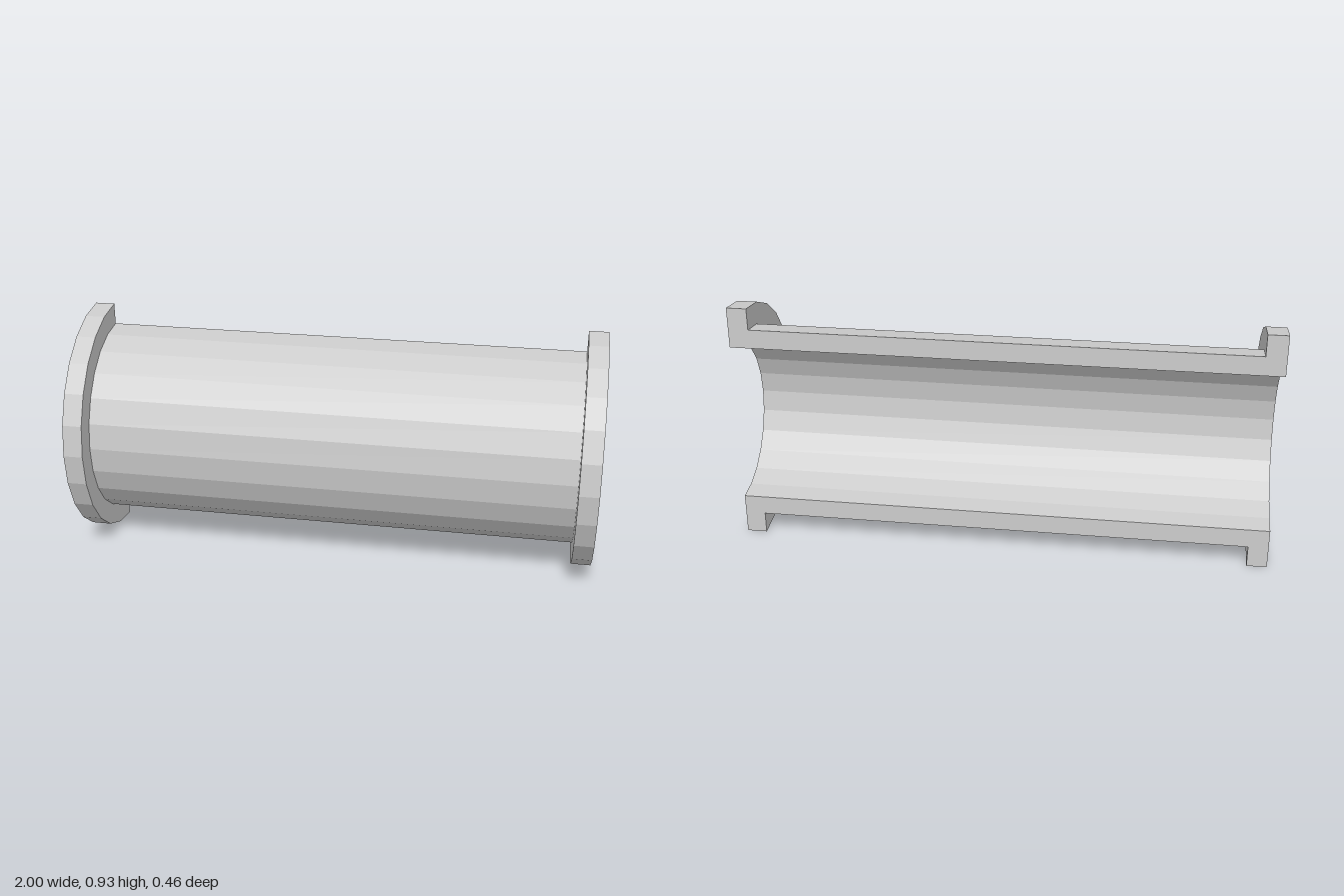
import * as THREE from 'three';

// Half of a flanged sleeve, split lengthwise, lying along x and open to the back
const BORE = 0.309, TUBE = 0.381, FLANGE = 0.4625;
const END = 1, FLANGE_FACE = 0.925;
const SEGMENTS = 12;

export function createModel() {
  const model = new THREE.Group();
  model.name = 'halfSleeve';
  const material = new THREE.MeshStandardMaterial({ color: 0xcccccc, flatShading: true });

  // Wall section (radius, position along the axis), counter-clockwise
  const section = [
    [BORE, -END], [FLANGE, -END], [FLANGE, -FLANGE_FACE], [TUBE, -FLANGE_FACE],
    [TUBE, FLANGE_FACE], [FLANGE, FLANGE_FACE], [FLANGE, END], [BORE, END],
  ].map(([r, a]) => new THREE.Vector2(r, a));

  const add = (name, geometry) => {
    geometry.rotateZ(-Math.PI / 2); // lay the axis along x
    geometry.translate(0, FLANGE, -FLANGE / 2);
    const mesh = new THREE.Mesh(geometry, material);
    mesh.name = name;
    model.add(mesh);
  };

  // Tube wall, flanges and bore as one half turn of the closed section
  add('flangedShell', new THREE.LatheGeometry([...section, section[0].clone()], SEGMENTS, -Math.PI / 2, Math.PI));

  // Flat split faces along the upper and lower edges, facing back
  const shape = new THREE.Shape(section);
  add('upperSplitFace', new THREE.ShapeGeometry(shape).rotateY(Math.PI));
  add('lowerSplitFace', new THREE.ShapeGeometry(shape).rotateX(Math.PI));

  return model;
}
